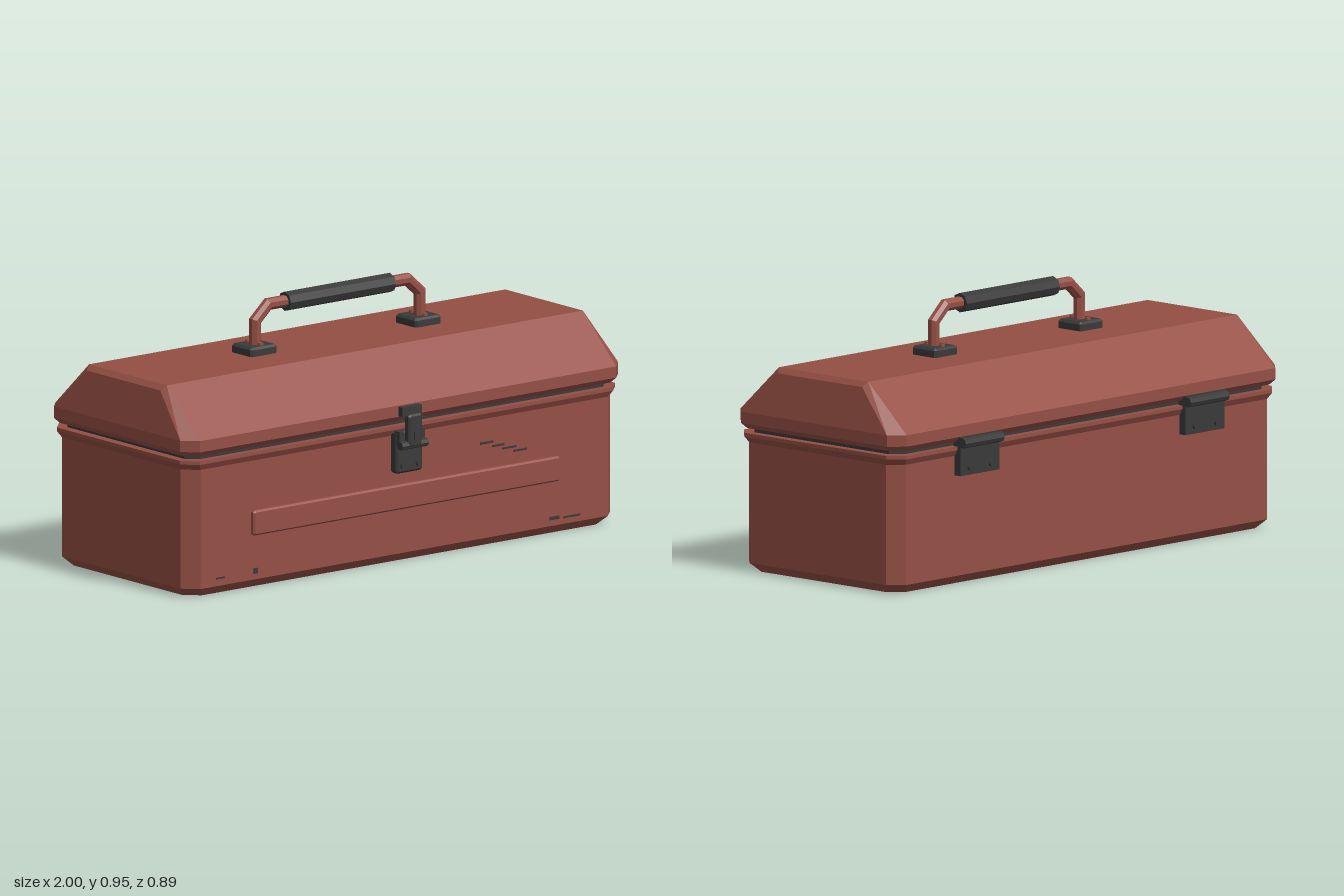
import * as THREE from 'three';
import { ConvexGeometry } from 'three/addons/geometries/ConvexGeometry.js';

const ZC = -0.0075; // the box sits slightly back of centre, behind the latch

// Eight-cornered ring in a horizontal plane; the end corners may drop below y
function ring(y, hx, hz, cx, cz = cx, drop = 0) {
  const pts = [];
  for (const sx of [-1, 1]) for (const sz of [-1, 1]) {
    pts.push(new THREE.Vector3(sx * (hx - cx), y, sz * hz));
    pts.push(new THREE.Vector3(sx * hx, y - drop, sz * (hz - cz)));
  }
  return pts;
}

const hull = (...rings) => new ConvexGeometry(rings.flat());

// Bevelled plate rising from y = 0
function plate(w, d, h, b) {
  return hull(ring(0, w / 2, d / 2, b), ring(h - b, w / 2, d / 2, b), ring(h, w / 2 - b, d / 2 - b, b / 2));
}

// Mitred, flat-sided tube along a path in the XY plane
function bentRod(path, r, sides) {
  const rings = path.map((p, i) => {
    const a = p.clone().sub(path[Math.max(i - 1, 0)]).normalize();
    const b = path[Math.min(i + 1, path.length - 1)].clone().sub(p).normalize();
    const t = a.clone().add(b).normalize();
    const miter = r / Math.max(t.dot(a), t.dot(b));
    return Array.from({ length: sides }, (_, k) => {
      const ang = ((k + 0.5) / sides) * Math.PI * 2;
      const c = Math.cos(ang) * miter;
      return [p.x - t.y * c, p.y + t.x * c, Math.sin(ang) * r];
    });
  });
  const pos = [];
  for (let i = 0; i < rings.length - 1; i++) for (let k = 0; k < sides; k++) {
    const n = (k + 1) % sides;
    const [a, b, c, d] = [rings[i][k], rings[i][n], rings[i + 1][n], rings[i + 1][k]];
    pos.push(...a, ...b, ...c, ...a, ...c, ...d);
  }
  const g = new THREE.BufferGeometry();
  g.setAttribute('position', new THREE.Float32BufferAttribute(pos, 3));
  g.computeVertexNormals();
  return g;
}

// Flat-sided cylinder along 'x', 'y' or 'z'
function rod(r, len, axis, sides = 8) {
  let g = new THREE.CylinderGeometry(r, r, len, sides).toNonIndexed();
  g.computeVertexNormals();
  if (axis === 'x') g.rotateZ(Math.PI / 2);
  if (axis === 'z') g.rotateX(Math.PI / 2);
  return g;
}

export function createModel() {
  const red = new THREE.MeshStandardMaterial({ color: 0x954f44 });
  red.name = 'red paint';
  const dark = new THREE.MeshStandardMaterial({ color: 0x3a3a3a });
  dark.name = 'dark metal';

  const model = new THREE.Group();
  model.name = 'toolbox';
  const add = (parent, name, geo, mat, x = 0, y = 0, z = 0) => {
    const m = new THREE.Mesh(geo, mat);
    m.name = name;
    m.position.set(x, y, z);
    parent.add(m);
    return m;
  };
  const group = (name) => {
    const g = new THREE.Group();
    g.name = name;
    model.add(g);
    return g;
  };
  const box = (w, h, d) => new THREE.BoxGeometry(w, h, d);

  // Body with flared rim, gasket and lid
  add(model, 'body', hull(ring(0, 0.95, 0.353, 0.05), ring(0.032, 0.98, 0.383, 0.05), ring(0.48, 0.98, 0.383, 0.05)), red, 0, 0, ZC);
  add(model, 'bodyRim', hull(ring(0.465, 0.98, 0.383, 0.05), ring(0.487, 0.993, 0.396, 0.05), ring(0.5, 0.993, 0.396, 0.05)), red, 0, 0, ZC);
  add(model, 'gasket', hull(ring(0.49, 0.96, 0.367, 0.04), ring(0.53, 0.96, 0.367, 0.04)), dark, 0, 0, ZC);
  add(model, 'lid', hull(
    ring(0.517, 0.985, 0.39, 0.05), ring(0.535, 1, 0.405, 0.05), ring(0.576, 1, 0.405, 0.05),
    ring(0.746, 0.95 + 0.02, 0.218, 0.02, 0.011, 0.018)), red, 0, 0, ZC);

  // Raised panel on the front
  add(model, 'frontPanel', plate(1.4, 0.09, 0.025, 0.006).rotateX(Math.PI / 2), red, 0, 0.24, 0.369);

  // Front latch
  const latch = group('latch');
  add(latch, 'latchPlate', plate(0.12, 0.152, 0.034, 0.007).rotateX(Math.PI / 2), dark, 0, 0.406, 0.374);
  add(latch, 'latchCatch', box(0.09, 0.034, 0.04), dark, 0, 0.555, 0.4);
  add(latch, 'latchHasp', plate(0.062, 0.115, 0.023, 0.006).rotateX(Math.PI / 2), dark, 0, 0.488, 0.419);
  add(latch, 'latchPin', rod(0.016, 0.12, 'x'), dark, 0, 0.435, 0.425);
  add(latch, 'latchTab', box(0.02, 0.028, 0.012), dark, 0, 0.47, 0.443);
  for (const s of [-1, 1]) {
    add(latch, 'latchArm', box(0.02, 0.05, 0.025), dark, s * 0.048, 0.46, 0.408);
    add(latch, 'latchRivet', rod(0.01, 0.02, 'z'), dark, s * 0.035, 0.358, 0.409);
  }

  // Rear hinges
  for (const s of [-1, 1]) {
    const hinge = group('hinge');
    hinge.position.x = s * 0.58;
    add(hinge, 'hingeLeaf', box(0.2, 0.14, 0.034), dark, 0, 0.465, -0.403);
    add(hinge, 'hingeBarrel', rod(0.019, 0.2, 'x'), dark, 0, 0.514, -0.427);
    for (const x of [-0.055, 0.055]) add(hinge, 'hingeRivet', rod(0.01, 0.016, 'z'), dark, x, 0.422, -0.421);
  }

  // Carrying handle
  const handle = group('handle');
  const bend = [[-0.375, 0.765], [-0.375, 0.862], [-0.318, 0.914], [0.318, 0.914], [0.375, 0.862], [0.375, 0.765]];
  add(handle, 'handleRod', bentRod(bend.map((p) => new THREE.Vector2(...p)), 0.022, 8), red);
  add(handle, 'handleGrip', rod(0.035, 0.48, 'x'), dark, 0, 0.913, 0);
  for (const s of [-1, 1]) {
    add(handle, 'handleFoot', plate(0.12, 0.118, 0.034, 0.008), dark, s * 0.375, 0.744, -0.006);
    for (const z of [-0.042, 0.03]) add(handle, 'footRivet', rod(0.01, 0.016, 'y'), red, s * 0.375, 0.779, z);
  }

  // Paint scratches on the front: x, y, width, height
  const scratches = [
    [0.375, 0.378, 0.06, 0.008], [0.428, 0.361, 0.055, 0.007], [0.478, 0.346, 0.065, 0.007], [0.528, 0.33, 0.06, 0.007],
    [-0.84, 0.06, 0.04, 0.006], [-0.68, 0.063, 0.018, 0.02], [0.685, 0.06, 0.045, 0.012], [0.765, 0.056, 0.075, 0.007],
  ];
  for (const [x, y, w, h] of scratches) add(model, 'scratch', box(w, h, 0.004), dark, x, y, 0.3765);

  return model;
}
